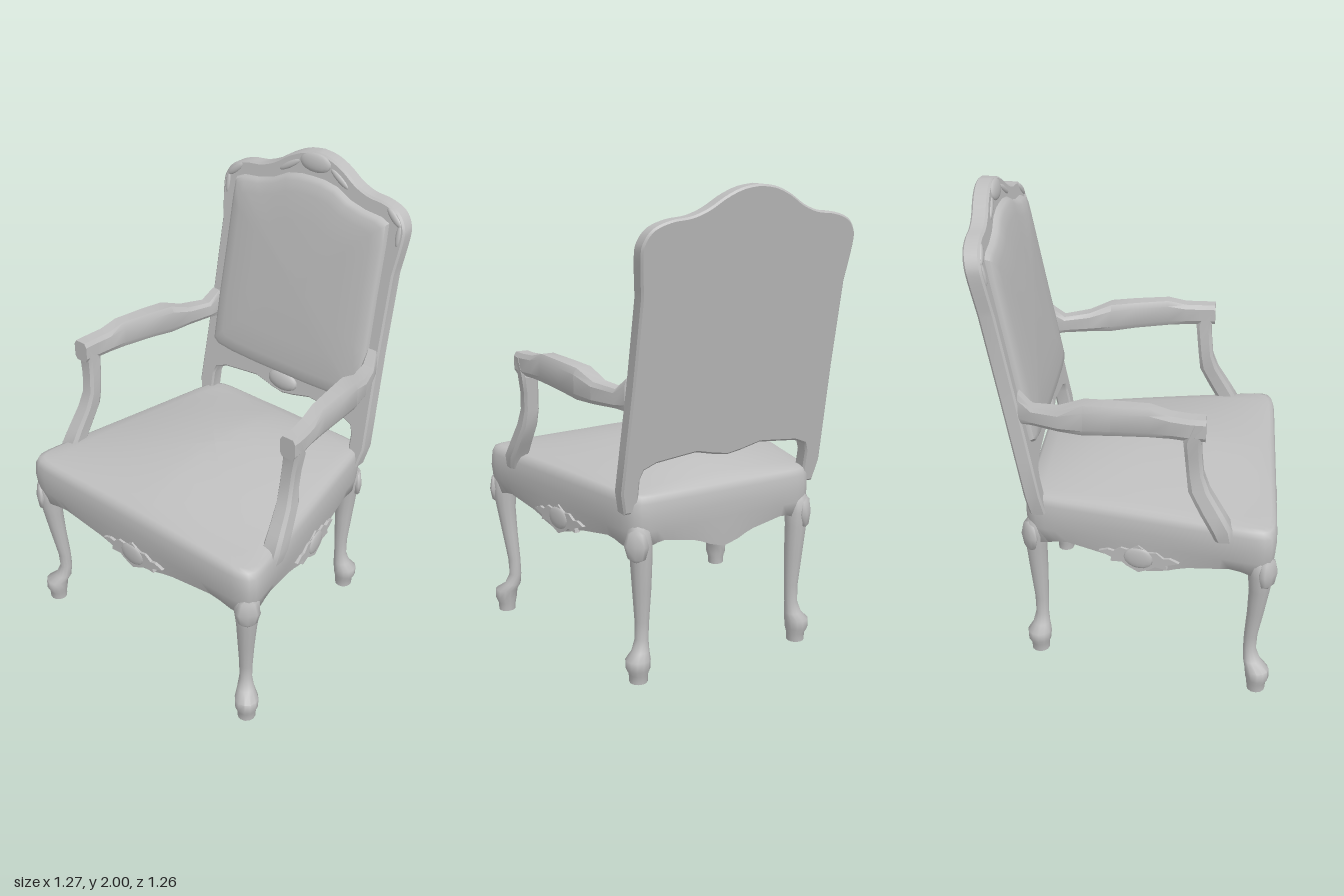
import * as THREE from 'three';
import { toCreasedNormals } from 'three/addons/utils/BufferGeometryUtils.js';

const V = (x, y, z) => new THREE.Vector3(x, y, z);

// Skin through closed rings of equal length, with both ends capped
function loft(rings, crease = 0.7) {
  const n = rings[0].length, pts = rings.flat(), idx = [];
  for (let r = 0; r < rings.length - 1; r++) {
    for (let i = 0; i < n; i++) {
      const a = r * n + i, b = r * n + (i + 1) % n;
      idx.push(a, b, b + n, a, b + n, a + n);
    }
  }
  for (const r of [0, rings.length - 1]) {
    const mid = rings[r].reduce((s, p) => s.add(p), V(0, 0, 0)).divideScalar(n);
    const c = pts.push(mid) - 1;
    for (let i = 0; i < n; i++) {
      const a = r * n + i, b = r * n + (i + 1) % n;
      if (r === 0) idx.push(c, b, a); else idx.push(c, a, b);
    }
  }
  // Turn the faces outward whatever the ring direction
  let volume = 0;
  for (let i = 0; i < idx.length; i += 3) {
    volume += pts[idx[i]].dot(V(0, 0, 0).crossVectors(pts[idx[i + 1]], pts[idx[i + 2]]));
  }
  if (volume < 0) idx.reverse();
  const g = new THREE.BufferGeometry().setFromPoints(pts);
  g.setIndex(idx);
  return toCreasedNormals(g, crease);
}

// Chamfered rectangular ring spanned by two half-axis vectors
const chamfer = [[1, .6], [.7, 1], [-.7, 1], [-1, .6], [-1, -.6], [-.7, -1], [.7, -1], [1, -.6]];
const boxRing = (c, u, v) => chamfer.map(([a, b]) => c.clone().addScaledVector(u, a).addScaledVector(v, b));

// Mirror a half outline, running from centre to centre, into a full outline
const mirror = half => [...half, ...half.slice(1, -1).reverse().map(([x, y]) => [-x, y])];
const toShape = pts => new THREE.Shape(pts.map(p => new THREE.Vector2(...p)));

// Backward lean of the chair back
const leanZ = y => -0.365 - 0.187 * (y - 0.73);
function lean(g) {
  const p = g.attributes.position;
  for (let i = 0; i < p.count; i++) p.setZ(i, p.getZ(i) + leanZ(p.getY(i)));
  return toCreasedNormals(g, 0.6);
}

// Linear lookup in rows of [position, value]
const lerpTable = (table, t) => {
  let i = 1;
  while (i < table.length - 1 && t > table[i][0]) i++;
  const [a, b] = [table[i - 1], table[i]];
  return THREE.MathUtils.lerp(a[1], b[1], THREE.MathUtils.clamp((t - a[0]) / (b[0] - a[0]), 0, 1));
};

export function createModel() {
  const chair = new THREE.Group();
  chair.name = 'armchair';
  const grey = new THREE.MeshStandardMaterial({ color: 0xbebebe });
  grey.name = 'plain grey';
  const add = (name, g, parent = chair) => {
    const m = new THREE.Mesh(g, grey);
    m.name = name;
    parent.add(m);
    return m;
  };

  // Seat: thin domed shell on a trapezoid, with a scalloped apron, hollow below
  const square = [];
  for (let k = 0; k < 4; k++) {
    for (let i = 0; i < 24; i++) {
      const t = -1 + i / 12, p = [[t, 1], [1, -t], [-t, -1], [-1, t]][k];
      const norm = (Math.abs(p[0]) ** 16 + Math.abs(p[1]) ** 16) ** (1 / 16);
      square.push([p[0] / norm, p[1] / norm]);
    }
  }
  const halfWidth = v => 0.535 + 0.105 * v;
  const scallop = [[0, .522], [.15, .538], [.3, .568], [.5, .585], [.7, .602], [.85, .58], [1, .56]];
  const dome = (u, v) => 0.797 + 0.09 * (1 - Math.abs(u) ** 1.6) * (1 - Math.abs(v) ** 2.3);
  const seatRing = (s, yOf) => square.map(([a, b]) => {
    const u = a * s, v = b * s, along = Math.min(Math.abs(a), Math.abs(b));
    return V(u * halfWidth(v), yOf(u, v, lerpTable(scallop, along)), 0.09 + 0.52 * v);
  });
  const low = (u, v, bottom) => bottom;
  const lining = (u, v) => dome(u, v) - .012;
  add('seat', loft([
    ...[.02, .25, .5, .7, .85, .95].map(s => seatRing(s, dome)),
    seatRing(.98, () => .793), seatRing(.997, () => .765), seatRing(1.003, () => .71),
    seatRing(.995, () => .65), seatRing(.97, low), seatRing(.955, low),
    seatRing(.977, () => .65), seatRing(.985, () => .71), seatRing(.979, () => .757), seatRing(.963, () => .78),
    ...[.94, .85, .7, .5, .25, .02].map(s => seatRing(s, lining)),
  ], 1.25));

  // Back frame: solid panel with stiles, crest and scalloped lower rail
  const crest = new THREE.SplineCurve([[.455, 1.6], [.472, 1.75], [.465, 1.805], [.43, 1.85], [.36, 1.876], [.28, 1.886],
    [.21, 1.912], [.14, 1.955], [.07, 1.984], [0, 1.994]].map(p => new THREE.Vector2(...p))).getPoints(30);
  const frameHalf = [[0, .92], [.06, .93], [.15, .952], [.22, .945], [.33, .933], [.385, .91], [.4, .87], [.4, .73],
    [.45, .73], [.47, .82], [.465, 1.0], [.458, 1.25], ...crest.map(p => [p.x, p.y])];
  const bevel = 0.008;
  add('backFrame', lean(new THREE.ExtrudeGeometry(toShape(mirror(frameHalf)), {
    depth: .05, bevelThickness: bevel, bevelSize: bevel, bevelOffset: -bevel / 2, bevelSegments: 1,
  }).translate(0, 0, -.026)));

  // Back cushion
  const pad = mirror([[0, 1.015], [.15, 1.015], [.3, 1.02], [.385, 1.03], [.412, 1.05], [.412, 1.25], [.406, 1.5],
    [.404, 1.72], [.4, 1.805], [.36, 1.822], [.28, 1.83], [.2, 1.85], [.13, 1.885], [.06, 1.898], [0, 1.9]]);
  const padRing = (s, z) => pad.map(([x, y]) => V(x * s, 1.45 + (y - 1.45) * s, z));
  add('backCushion', lean(loft([
    padRing(1, 0), padRing(1, .036), padRing(.985, .05), padRing(.95, .059), padRing(.85, .066),
    padRing(.6, .072), padRing(.03, .076),
  ])));

  // Medallions on crest and lower rail, with shallow carved leaves beside them
  const boss = (name, x, y, rx, ry, rz, turn = 0) => {
    const m = add(name, new THREE.SphereGeometry(1, 14, 10));
    m.scale.set(rx, ry, rz);
    m.position.set(x, y, .03 + leanZ(y));
    m.rotation.set(-.185, 0, turn);
  };
  boss('crestMedallion', 0, 1.955, .082, .04, .016);
  boss('railMedallion', 0, .978, .082, .045, .024);
  for (const s of [1, -1]) {
    boss('crestLeaf', s * .13, 1.918, .06, .014, .009, s * -.55);
    boss('cornerLeaf', s * .418, 1.832, .05, .016, .01, s * -.7);
    boss('cornerLeafTip', s * .45, 1.765, .012, .045, .009);
  }

  // Carved apron ornaments on the front and both sides
  const leafHalf = [[0, -.068], [.05, -.045], [.07, -.03], [.12, -.035], [.115, -.015], [.17, .005], [.13, .02],
    [.105, .015], [.075, .038], [.04, .032], [0, .06]];
  const leafGeometry = new THREE.ExtrudeGeometry(toShape(mirror(leafHalf)), { depth: .025, bevelEnabled: false });
  const leafBoss = new THREE.SphereGeometry(1, 12, 8).scale(.065, .048, .012).translate(0, 0, .023);
  const apronOrnament = (name, x, z, turn) => {
    const g = new THREE.Group();
    g.name = name;
    add('leafCarving', leafGeometry, g);
    add('carvedBoss', leafBoss, g);
    g.position.set(x, .592, z);
    g.rotation.y = turn;
    chair.add(g);
  };
  apronOrnament('frontOrnament', 0, .59, 0);
  for (const s of [1, -1]) apronOrnament('sideOrnament', s * .508, .06, s * Math.atan2(1, -.2));

  // Curved legs: [x, y, z, radius]
  const frontLeg = [[.56, .68, .545, .03], [.565, .65, .548, .052], [.568, .58, .552, .053], [.566, .5, .55, .043],
    [.556, .38, .54, .035], [.545, .25, .526, .028], [.543, .18, .524, .027], [.553, .13, .535, .036],
    [.576, .1, .557, .05], [.578, .06, .56, .049], [.576, .035, .557, .04], [.576, 0, .557, .038]];
  const backLeg = [[.387, .69, -.38, .03], [.385, .65, -.385, .05], [.383, .6, -.387, .052], [.378, .54, -.39, .046],
    [.373, .4, -.384, .039], [.37, .26, -.378, .03], [.372, .18, -.378, .028], [.38, .13, -.382, .037],
    [.395, .1, -.389, .052], [.396, .06, -.39, .05], [.393, .035, -.388, .04], [.393, 0, -.388, .038]];
  const legRings = (rows, s) => rows.map(([x, y, z, r]) => Array.from({ length: 12 }, (_, i) => {
    const a = i * Math.PI / 6;
    return V(s * (x + r * Math.cos(a)), y, z + r * Math.sin(a));
  }));

  // Arms and their posts, as section centres with half sizes
  const armRows = [[.563, 1.222, .315, .036, .046], [.56, 1.222, .25, .036, .047], [.55, 1.225, .18, .036, .048],
    [.54, 1.234, .1, .038, .059], [.52, 1.226, -.05, .044, .061], [.503, 1.216, -.16, .046, .064],
    [.485, 1.197, -.26, .04, .044], [.452, 1.193, -.37, .032, .038], [.435, 1.215, -.425, .027, .065]];
  const postRows = [[.563, 1.25, .29, .036, .025], [.56, 1.17, .265, .036, .035], [.553, 1.1, .27, .033, .033],
    [.55, 1.02, .278, .033, .033], [.557, .95, .295, .035, .042], [.567, .86, .345, .038, .046],
    [.573, .79, .385, .042, .046], [.568, .735, .4, .038, .036]];

  for (const s of [1, -1]) {
    const side = s > 0 ? 'left' : 'right';
    add(side + 'FrontLeg', loft(legRings(frontLeg, s), 1));
    add(side + 'BackLeg', loft(legRings(backLeg, s), 1));
    add(side + 'Arm', loft(armRows.map(([x, y, z, w, h]) => boxRing(V(s * x, y, z), V(w, 0, 0), V(0, h, 0))), .5));
    add(side + 'ArmPost', loft(postRows.map(([x, y, z, w, d]) => boxRing(V(s * x, y, z), V(w, 0, 0), V(0, 0, d))), .5));

    // Pointed shield carvings on the knees
    for (const [x, z, turn] of [[.596, .58, .78], [.41, -.412, 2.4]]) {
      const m = add(side + 'KneeShield', new THREE.SphereGeometry(1, 8, 4));
      m.scale.set(.052, .075, .024);
      m.position.set(s * x, .595, z);
      m.rotation.y = s * turn;
    }
  }
  return chair;
}
